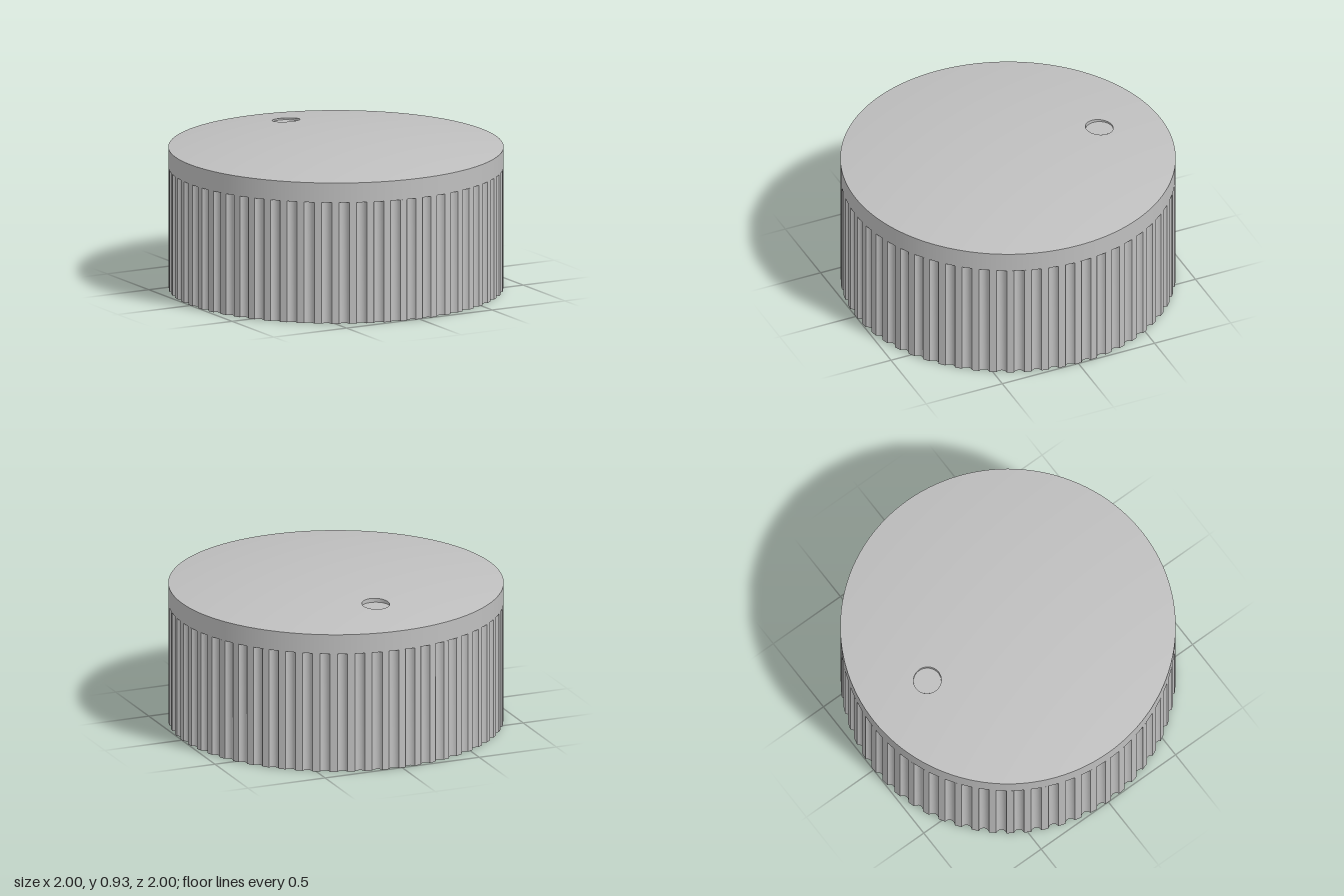
import * as THREE from 'three';
import { toCreasedNormals } from 'three/addons/utils/BufferGeometryUtils.js';

const SKIRT_TOP = 0.74, RIM_TOP = 0.86, CROWN = 0.075;
const FLUTES = 60, GROOVE_HALF = 0.031, GROOVE_DEPTH = 0.022;
const DOT = { z: -0.6, r: 0.083, floor: 0.89 };
const domeY = (x, z) => RIM_TOP + CROWN * (1 - x * x - z * z);

// Circular outline with concave grooves cut between narrow ribs
function flutedShape() {
  const pts = [];
  const R = (GROOVE_HALF ** 2 + GROOVE_DEPTH ** 2) / (2 * GROOVE_DEPTH);
  const sweep = Math.asin(GROOVE_HALF / R);
  const rimR = Math.sqrt(1 - GROOVE_HALF ** 2);
  for (let i = 0; i < FLUTES; i++) {
    const a = ((i + 0.5) / FLUTES) * Math.PI * 2;
    const c = Math.cos(a), s = Math.sin(a);
    for (let j = 0; j <= 6; j++) {
      const b = sweep * (j / 3 - 1);
      const along = R * Math.sin(b);
      const out = rimR - (R * Math.cos(b) - (R - GROOVE_DEPTH));
      pts.push(new THREE.Vector2(out * c - along * s, out * s + along * c));
    }
  }
  return new THREE.Shape(pts);
}

// D-shaped shaft socket with its flat towards +x
function socketPath() {
  const r = 0.205, a = Math.acos(0.11 / r);
  const path = new THREE.Path();
  path.absarc(0, 0, r, a, Math.PI * 2 - a, false);
  path.closePath();
  return path;
}

// Domed face: rings blended from the indicator hole out to the rim
function domeGeometry() {
  const geo = new THREE.PlaneGeometry(1, 1, 128, 24);
  const pos = geo.attributes.position, nor = geo.attributes.normal;
  const n = new THREE.Vector3();
  for (let i = 0; i < pos.count; i++) {
    const a = (pos.getX(i) + 0.5) * Math.PI * 2, t = pos.getY(i) + 0.5;
    const r = DOT.r + (1 - DOT.r) * t;
    const x = r * Math.sin(a), z = DOT.z * (1 - t) - r * Math.cos(a);
    pos.setXYZ(i, x, domeY(x, z), z);
    n.set(2 * CROWN * x, 1, 2 * CROWN * z).normalize();
    nor.setXYZ(i, n.x, n.y, n.z);
  }
  // Make the winding face upwards
  const p = [0, 1, 2].map((k) => new THREE.Vector3().fromBufferAttribute(pos, geo.index.getX(k)));
  if (p[1].sub(p[0]).cross(p[2].sub(p[0])).y < 0) geo.index.array.reverse();
  return geo;
}

// Wall of the indicator hole, from its flat floor up to the dome
function dotWallGeometry() {
  const geo = new THREE.CylinderGeometry(DOT.r, DOT.r, 1, 48, 1, true);
  const pos = geo.attributes.position;
  for (let i = 0; i < pos.count; i++) {
    const x = pos.getX(i), z = pos.getZ(i) + DOT.z;
    pos.setXYZ(i, x, pos.getY(i) > 0 ? domeY(x, z) : DOT.floor, z);
  }
  return geo;
}

export function createModel() {
  const group = new THREE.Group();
  const grey = new THREE.MeshStandardMaterial({ color: 0xbfbfbf });
  grey.name = 'greyPlastic';
  const greyInside = grey.clone();
  greyInside.side = THREE.DoubleSide;

  const add = (name, geometry, material = grey) => {
    const mesh = new THREE.Mesh(geometry, material);
    mesh.name = name;
    group.add(mesh);
    return mesh;
  };

  // Fluted grip with the shaft socket
  const shape = flutedShape();
  shape.holes.push(socketPath());
  const grip = new THREE.ExtrudeGeometry(shape, { depth: SKIRT_TOP, bevelEnabled: false, curveSegments: 40 });
  grip.rotateX(-Math.PI / 2);
  add('flutedGrip', toCreasedNormals(grip, 0.5));

  // Smooth rim band and its underside
  const band = new THREE.CylinderGeometry(1, 1, RIM_TOP - SKIRT_TOP, 128, 1, true);
  add('rimBand', band.translate(0, (RIM_TOP + SKIRT_TOP) / 2, 0));
  const under = new THREE.CircleGeometry(1, 128).rotateX(Math.PI / 2);
  add('rimUnderside', under.translate(0, SKIRT_TOP, 0));

  // Domed face with a sunken indicator dot
  add('domedFace', domeGeometry());
  add('indicatorWall', dotWallGeometry(), greyInside);
  const floor = new THREE.CircleGeometry(DOT.r, 48).rotateX(-Math.PI / 2);
  add('indicatorFloor', floor.translate(0, DOT.floor, DOT.z));

  return group;
}
